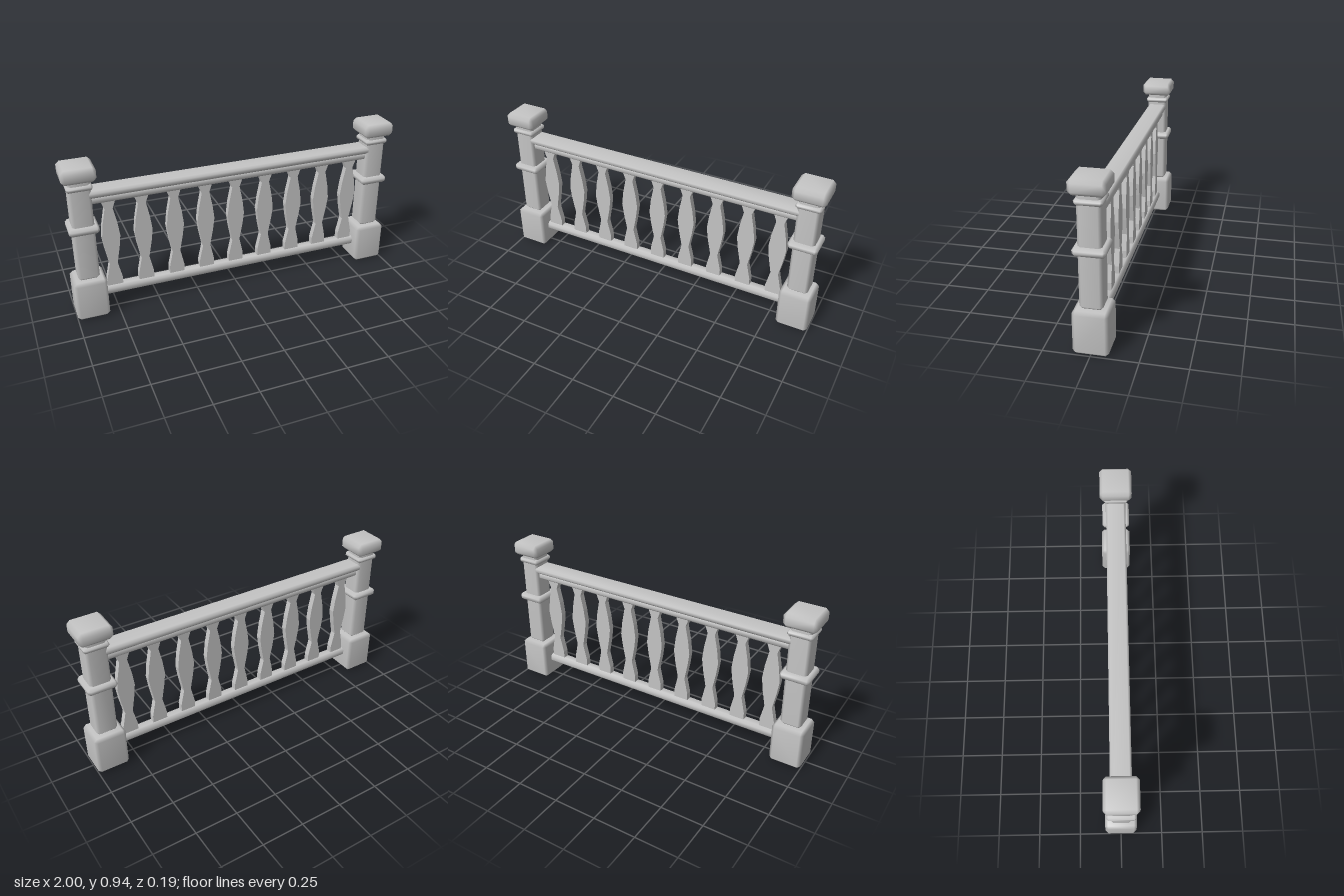
import * as THREE from 'three';
import { mergeVertices } from 'three/addons/utils/BufferGeometryUtils.js';
import { ConvexGeometry } from 'three/addons/geometries/ConvexGeometry.js';

const stone = new THREE.MeshStandardMaterial({ color: 0xc4c4c4 });
stone.name = 'grey stone';

// Box with chamfered edges and softly blended normals, from y0 to y1
function chamferBox(name, width, y0, y1, depth, c) {
  const half = [width / 2, (y1 - y0) / 2, depth / 2];
  const points = [];
  for (const sx of [-1, 1]) for (const sy of [-1, 1]) for (const sz of [-1, 1]) {
    for (let axis = 0; axis < 3; axis++) {
      const p = half.map((h, i) => (i === axis ? h : h - c));
      points.push(new THREE.Vector3(sx * p[0], sy * p[1], sz * p[2]));
    }
  }
  let geometry = new ConvexGeometry(points);
  geometry.deleteAttribute('normal');
  geometry = mergeVertices(geometry, 1e-5);
  geometry.computeVertexNormals();
  const mesh = new THREE.Mesh(geometry, stone);
  mesh.name = name;
  mesh.position.y = (y0 + y1) / 2;
  return mesh;
}

// Square post: plinth, shaft, two collars and a cap
function createPost(name, x) {
  const post = new THREE.Group();
  post.name = name;
  post.position.x = x;
  const parts = [
    ['postBase', 0.188, 0, 0.246, 0.018],
    ['postShaft', 0.122, 0.246, 0.885, 0.016],
    ['middleCollar', 0.168, 0.545, 0.59, 0.014],
    ['upperCollar', 0.142, 0.805, 0.838, 0.011],
    ['postCap', 0.188, 0.86, 0.943, 0.019],
  ];
  for (const [part, size, y0, y1, c] of parts) post.add(chamferBox(part, size, y0, y1, size, c));
  return post;
}

// Flat sawn baluster outline, mirrored about its centre line
function balusterGeometry() {
  const profile = [
    [0.045, 0.15], [0.045, 0.2], [0.023, 0.3], [0.042, 0.4],
    [0.052, 0.476], [0.042, 0.56], [0.023, 0.655], [0.043, 0.71],
  ];
  const right = profile.map(([x, y]) => new THREE.Vector2(x, y));
  const left = profile.map(([x, y]) => new THREE.Vector2(-x, y)).reverse();
  const depth = 0.036;
  const geometry = new THREE.ExtrudeGeometry(new THREE.Shape([...right, ...left]), { depth, bevelEnabled: false });
  return geometry.translate(0, 0, -depth / 2);
}

export function createModel() {
  const model = new THREE.Group();
  model.name = 'balustrade';

  model.add(createPost('leftPost', 0.906), createPost('rightPost', -0.906));

  // Rails run into the posts
  model.add(
    chamferBox('handrail', 1.74, 0.747, 0.79, 0.116, 0.012),
    chamferBox('underRail', 1.74, 0.705, 0.752, 0.082, 0.012),
    chamferBox('bottomRail', 1.7, 0.1, 0.155, 0.066, 0.014),
  );

  // Nine evenly spaced balusters
  const geometry = balusterGeometry();
  for (let i = 0; i < 9; i++) {
    const baluster = new THREE.Mesh(geometry, stone);
    baluster.name = `baluster${i + 1}`;
    baluster.position.x = (i - 4) * 0.1887;
    model.add(baluster);
  }
  return model;
}
